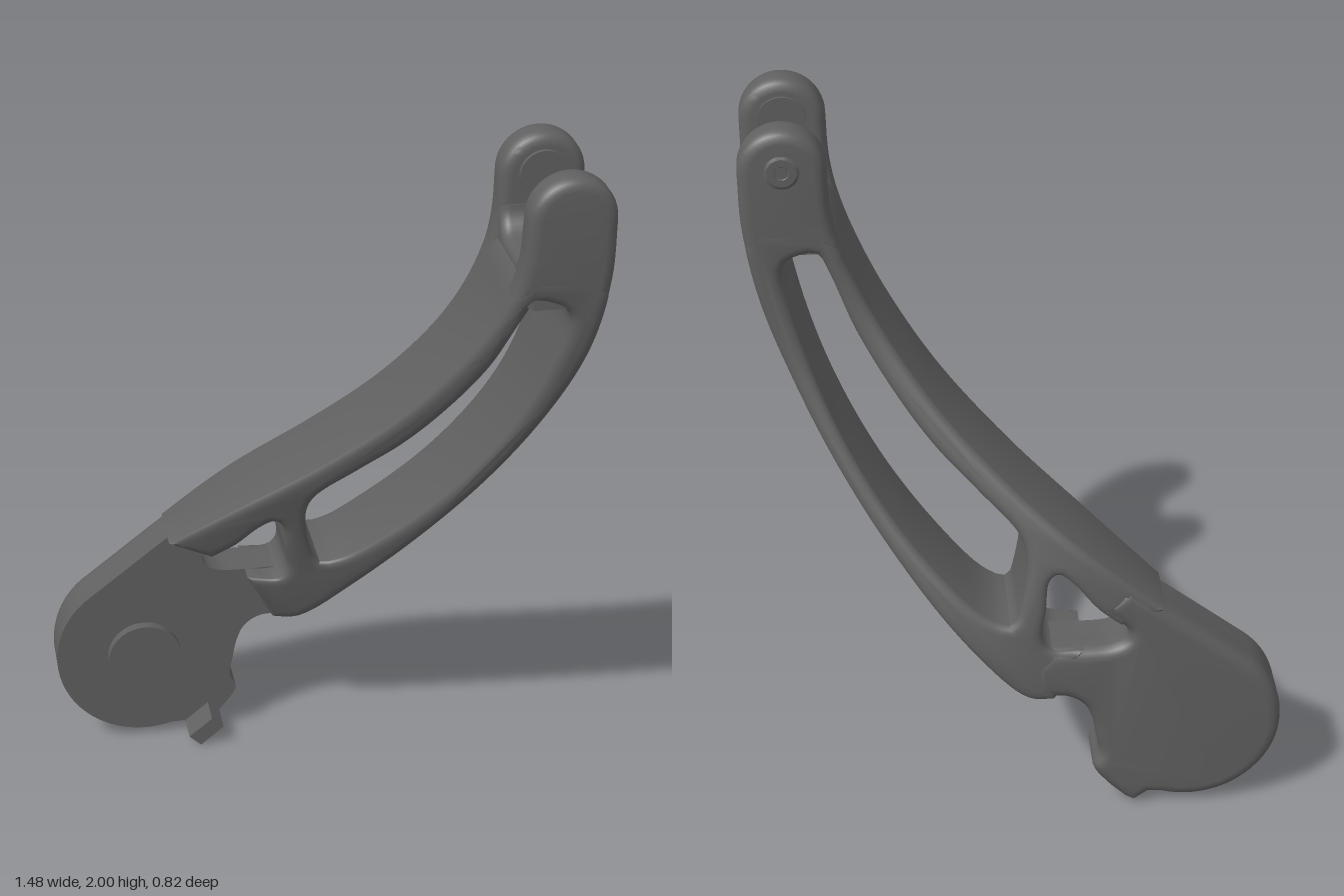
import * as THREE from 'three';
import { toCreasedNormals } from 'three/addons/utils/BufferGeometryUtils.js';

const material = new THREE.MeshStandardMaterial({ color: 0x606060 });
const HUB = [-0.48, 0.285];
const PIN = [0.62, 1.885];
const HALF = 0.225; // half thickness at the fork end

const toV2 = (p) => new THREE.Vector2(p[0], p[1]);

// Smooth curve through a few points, sampled to 2D points
function spline(points, n, closed = false) {
  const curve = new THREE.CatmullRomCurve3(points.map((p) => new THREE.Vector3(p[0], p[1], 0)), closed);
  const out = curve.getSpacedPoints(n).map(({ x, y }) => new THREE.Vector2(x, y));
  if (closed) out.pop();
  return out;
}

function arc([cx, cy], r, from, to, n) {
  return Array.from({ length: n + 1 }, (_, i) => {
    const a = from + ((to - from) * i) / n;
    return new THREE.Vector2(cx + r * Math.cos(a), cy + r * Math.sin(a));
  });
}

// Slab between z0 and z1 whose outline stays put while its edges are rounded
function slab(outline, holes, z0, z1, bevel) {
  const shape = new THREE.Shape(outline);
  holes.forEach((h) => shape.holes.push(new THREE.Path(h)));
  const geometry = new THREE.ExtrudeGeometry(shape, {
    depth: z1 - z0 - 2 * bevel, bevelEnabled: bevel > 0, bevelThickness: bevel,
    bevelSize: bevel, bevelOffset: -bevel, bevelSegments: 4,
  });
  return toCreasedNormals(geometry.translate(0, 0, z0 + bevel), 0.6);
}

// Front and back depth of the arm along its length, easing out at the ends
const ease = (t) => 0.08 * Math.log(1 + Math.exp(t / 0.08));
const front = (s) => -0.2 + 0.445 * (s - 0.31 - ease(s - 1.68));
const back = (s) => -0.41 + 0.42 * (ease(s - 0.55) - ease(s - 1.43));
const depthAt = (s, z) => (front(s) + back(s)) / 2 + (z / HALF) * (front(s) - back(s)) / 2;

// Sweeps a flat slab along the slanted depth and turns its normals to match
function sweep(geometry) {
  const p = geometry.attributes.position, n = geometry.attributes.normal;
  const v = new THREE.Vector3();
  for (let i = 0; i < p.count; i++) {
    const s = 0.59 * p.getX(i) + 0.8 * p.getY(i), z = p.getZ(i);
    const slope = (depthAt(s + 0.01, z) - depthAt(s - 0.01, z)) / 0.02;
    v.fromBufferAttribute(n, i);
    v.z *= (2 * HALF) / (front(s) - back(s));
    v.x -= 0.59 * slope * v.z;
    v.y -= 0.8 * slope * v.z;
    v.normalize();
    n.setXYZ(i, v.x, v.y, v.z);
    p.setZ(i, depthAt(s, z));
  }
  return geometry;
}

function part(group, name, geometry) {
  const mesh = new THREE.Mesh(geometry, material);
  mesh.name = name;
  group.add(mesh);
}

export function createModel() {
  const model = new THREE.Group();
  model.name = 'forkedLever';

  // Long edges shared by the arm and the fork
  const leftEdge = spline([[-0.4, 0.68], [-0.2, 0.84], [0.01, 1.01], [0.2, 1.195], [0.33, 1.365],
    [0.415, 1.51], [0.47, 1.64], [0.494, 1.75], [0.5, 1.88]], 60);
  const rightEdge = spline([[-0.09, 0.39], [-0.03, 0.39], [0.015, 0.415], [0.13, 0.535], [0.3, 0.74],
    [0.46, 0.97], [0.59, 1.21], [0.69, 1.47], [0.735, 1.71], [0.74, 1.88]], 70);

  // Arm: two feet around a triangular opening, and a long window
  const notch = spline([[-0.275, 0.632], [-0.21, 0.685], [-0.14, 0.765], [-0.1, 0.79], [-0.075, 0.765],
    [-0.065, 0.68], [-0.055, 0.585], [-0.08, 0.552], [-0.17, 0.55]], 36);
  const longWindow = spline([[0.535, 1.635], [0.58, 1.632], [0.628, 1.6], [0.6, 1.42], [0.515, 1.18],
    [0.38, 0.945], [0.22, 0.755], [0.09, 0.645], [0.03, 0.632], [0.005, 0.69], [-0.015, 0.83],
    [0.005, 0.895], [0.12, 1.01], [0.23, 1.115], [0.33, 1.24], [0.435, 1.41], [0.505, 1.58]], 110, true);
  const below = (p) => p.y < 1.665, above = (p) => p.y > 1.64;
  const shoulder = [[0.726, 1.69], [0.71, 1.71], [0.685, 1.72], [0.535, 1.72], [0.51, 1.71], [0.493, 1.69]];
  const armOutline = [...rightEdge.filter(below), ...shoulder.map(toV2),
    ...leftEdge.filter(below).reverse(), ...notch];
  part(model, 'arm', sweep(slab(armOutline, [longWindow], -HALF, HALF, 0.028)));

  // Fork prongs
  const prong = [...rightEdge.filter(above), ...arc([0.62, 1.88], 0.12, 0, Math.PI, 24).slice(1, -1),
    ...leftEdge.filter(above).reverse()];
  part(model, 'frontProng', sweep(slab(prong, [], 0.12, HALF, 0.032)));
  part(model, 'backProng', sweep(slab(prong, [], -HALF, -0.12, 0.032)));

  // Rounded floor of the fork slot, drawn in z and y
  const r = 0.07;
  const floor = [[0, 1.62], [0.37, 1.62], [0.37, 1.8]].map(toV2).concat(
    arc([0.305 - r, 1.73 + r], r, 0, -Math.PI / 2, 8),
    arc([0.065 + r, 1.73 + r], r, -Math.PI / 2, -Math.PI, 8), [toV2([0, 1.8])]);
  part(model, 'forkSaddle', slab(floor, [], -0.115, 0.115, 0.03).rotateY(-Math.PI / 2).translate(0.615, 0, 0));

  // Contact pads inside the fork
  [[0.305, 'frontPad'], [0.065, 'backPad']].forEach(([z, name]) => {
    const pad = new THREE.CylinderGeometry(0.07, 0.07, 0.022, 32).rotateX(Math.PI / 2);
    part(model, name, pad.translate(PIN[0], PIN[1], z));
  });

  // Ringed rivet on the back of the fork
  const rivet = new THREE.LatheGeometry([[0.048, 0], [0.04, 0.004], [0.02, 0.004], [0.018, 0.001],
    [0, 0.001]].map(toV2), 32);
  part(model, 'rivet', toCreasedNormals(rivet.rotateX(-Math.PI / 2), 0.2).translate(PIN[0], PIN[1], -0.041));

  // Hub plate: round end, tangent edge, stop lug and a hooked recess
  const hubOutline = [
    ...arc(HUB, 0.263, 2.27, 5.0, 40),
    ...[[-0.365, 0.035], [-0.325, 0.006]].map(toV2),
    ...spline([[-0.3, 0.02], [-0.24, 0.08], [-0.203, 0.14], [-0.222, 0.185], [-0.212, 0.24], [-0.2, 0.3],
      [-0.175, 0.355], [-0.13, 0.385], [-0.08, 0.39]], 36),
    ...[[-0.03, 0.392], [-0.03, 0.5], [-0.08, 0.552]].map(toV2),
    ...spline([[-0.17, 0.55], [-0.25, 0.556], [-0.292, 0.578], [-0.298, 0.606], [-0.275, 0.632],
      [-0.215, 0.68]], 18),
    ...[[-0.3, 0.755], [-0.4, 0.68]].map(toV2),
  ];
  part(model, 'hubPlateBack', slab(hubOutline, [], -0.41, -0.29, 0.035));
  part(model, 'hubPlateFront', slab(hubOutline, [], -0.35, -0.25, 0));

  // Pivot boss and stop tab
  const boss = new THREE.CylinderGeometry(0.11, 0.11, 0.06, 48).rotateX(Math.PI / 2);
  part(model, 'pivotBoss', boss.translate(HUB[0], HUB[1], -0.25));
  const tab = [[-0.36, 0.035], [-0.325, 0.002], [-0.255, 0.06], [-0.29, 0.092]].map(toV2);
  part(model, 'stopTab', slab(tab, [], -0.36, -0.155, 0));

  return model;
}
